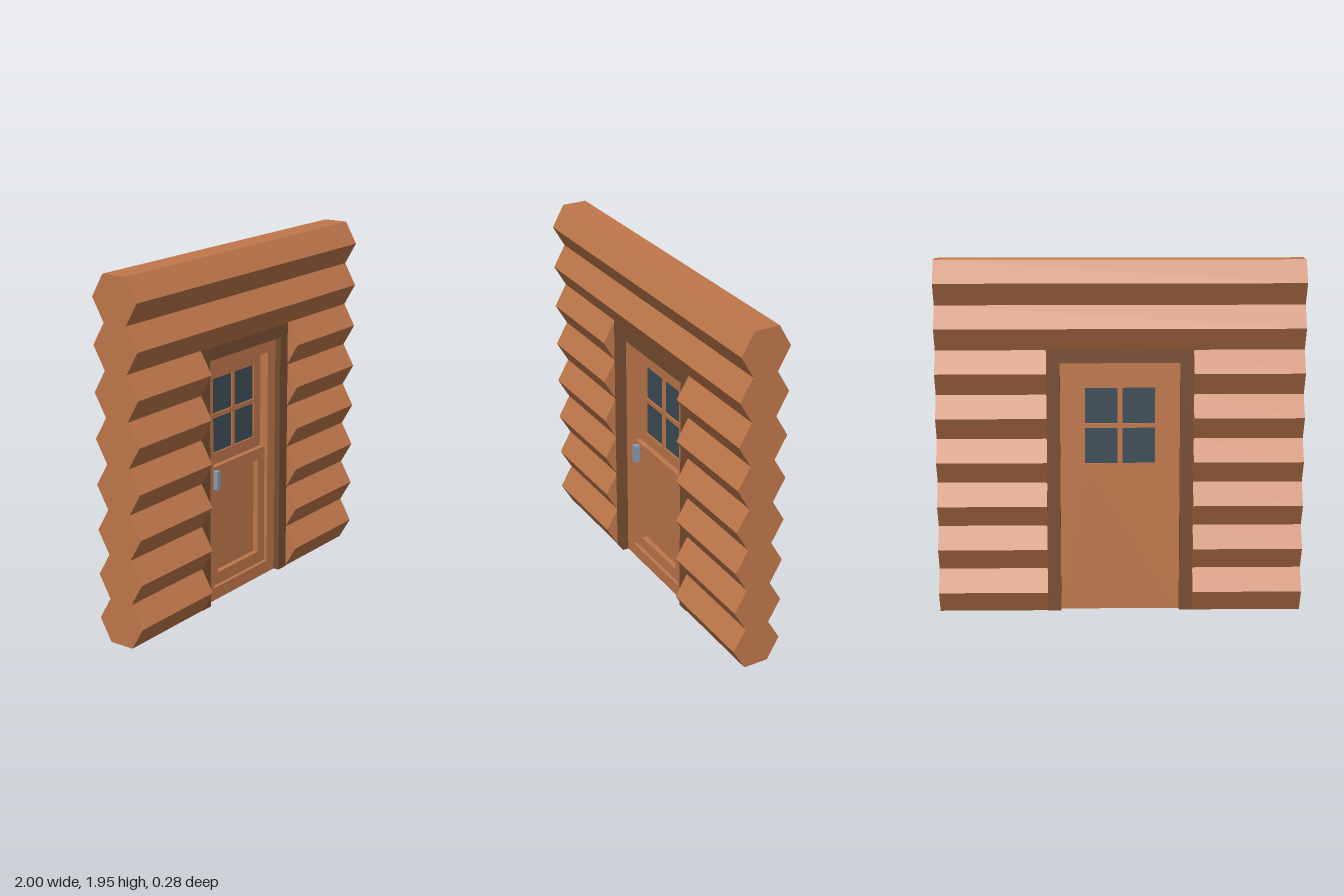
import * as THREE from 'three';

const mat = (color) => new THREE.MeshStandardMaterial({ color, flatShading: true });

// Trace a rectangle on a Shape or Path
function rect(path, x0, y0, x1, y1) {
  path.moveTo(x0, y0);
  path.lineTo(x1, y0);
  path.lineTo(x1, y1);
  path.lineTo(x0, y1);
  path.closePath();
  return path;
}

// Rectangular slab between two depths, with rectangular holes
function slab(outer, holes, z0, z1) {
  const shape = rect(new THREE.Shape(), ...outer);
  for (const h of holes) shape.holes.push(rect(new THREE.Path(), ...h));
  const geo = new THREE.ExtrudeGeometry(shape, { depth: z1 - z0, bevelEnabled: false });
  return geo.translate(0, 0, z0);
}

export function createModel() {
  const root = new THREE.Group();
  root.name = 'logWallWithDoor';
  const wood = mat(0xc0784b);
  const darkWood = mat(0x784d32);
  const glass = mat(0x3d4d57);
  const metal = mat(0x8a9bb0);

  const add = (parent, name, geo, material) => {
    const mesh = new THREE.Mesh(geo, material);
    mesh.name = name;
    parent.add(mesh);
    return mesh;
  };

  // Hexagonal logs: split either side of the doorway, full length above it
  const wall = new THREE.Group();
  wall.name = 'logWall';
  root.add(wall);
  const apothem = 0.1218;
  const radius = apothem / Math.cos(Math.PI / 6);
  const addLog = (name, row, x0, x1) => {
    const geo = new THREE.CylinderGeometry(radius, radius, x1 - x0, 6).rotateZ(Math.PI / 2);
    add(wall, name, geo, wood).position.set((x0 + x1) / 2, apothem * (2 * row + 1), 0);
  };
  for (let row = 0; row < 8; row++) {
    if (row < 6) {
      addLog('rightLog', row, -1, -0.4);
      addLog('leftLog', row, 0.4, 1);
    } else addLog('topLog', row, -1, 1);
  }

  // Door frame: two posts and a lintel in one piece
  const frame = new THREE.Shape();
  [[-0.403, 0], [-0.328, 0], [-0.328, 1.39], [0.328, 1.39], [0.328, 0], [0.403, 0], [0.403, 1.463], [-0.403, 1.463]]
    .forEach(([x, y], i) => (i ? frame.lineTo(x, y) : frame.moveTo(x, y)));
  const frameGeo = new THREE.ExtrudeGeometry(frame, { depth: 0.148, bevelEnabled: false });
  add(root, 'doorFrame', frameGeo.translate(0, 0, -0.074), darkWood);

  // Door: three layers whose openings step inwards
  const door = new THREE.Group();
  door.name = 'door';
  root.add(door);
  const leaf = [-0.328, 0, 0.328, 1.39];
  const panes = [];
  for (const [x0, x1] of [[-0.192, -0.013], [0.013, 0.192]])
    for (const [y0, y1] of [[0.83, 1.028], [1.053, 1.25]]) panes.push([x0, y0, x1, y1]);
  add(door, 'doorBack', slab(leaf, panes, -0.04, -0.01), wood);
  add(door, 'doorPanels', slab(leaf, [[-0.255, 0.765, 0.255, 1.315], [-0.19, 0.143, 0.19, 0.7]], -0.01, 0.02), wood);
  add(door, 'doorRim', slab(leaf, [[-0.255, 0.073, 0.255, 1.315]], 0.02, 0.04), wood);

  // Window panes set inside the back layer
  for (const p of panes) add(door, 'windowPane', slab(p, [], -0.03, -0.02), glass);

  // Handle
  add(door, 'handle', new THREE.BoxGeometry(0.03, 0.104, 0.035), metal).position.set(-0.225, 0.697, 0.0375);

  return root;
}
